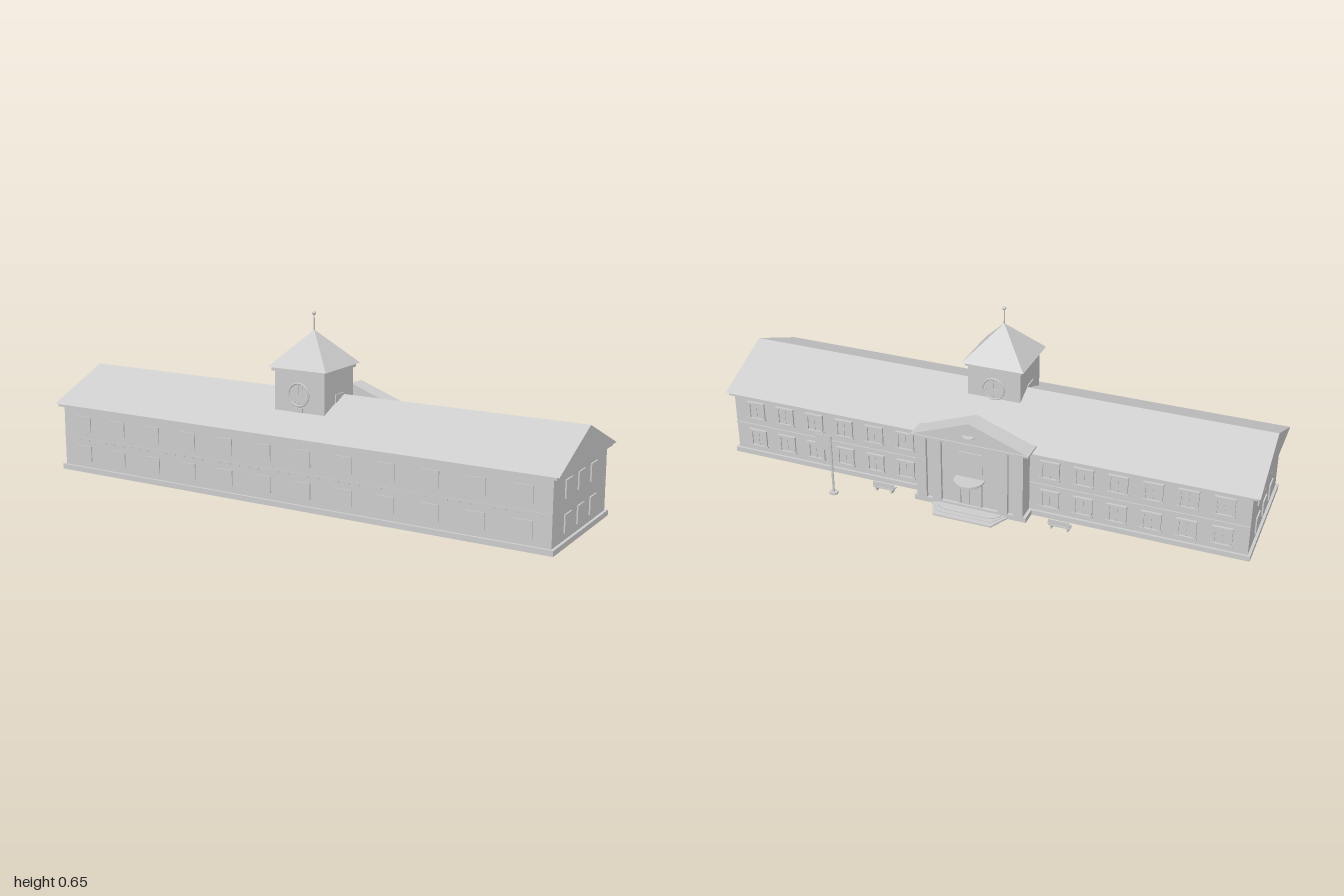
import * as THREE from 'three';

const stone = new THREE.MeshStandardMaterial({ color: 0xcccccc });
stone.name = 'pale grey';

export function createModel() {
  const root = new THREE.Group();
  root.name = 'clockTowerHall';

  const add = (name, geo, parent = root) => {
    const m = new THREE.Mesh(geo, stone);
    m.name = name;
    parent.add(m);
    return m;
  };
  // box given by its limits on each axis
  const box = (name, x0, x1, y0, y1, z0, z1, parent) => {
    const m = add(name, new THREE.BoxGeometry(x1 - x0, y1 - y0, z1 - z0), parent);
    m.position.set((x0 + x1) / 2, (y0 + y1) / 2, (z0 + z1) / 2);
    return m;
  };
  const disc = (name, r, y0, y1, x, z, n = 24) => {
    const m = add(name, new THREE.CylinderGeometry(r, r, y1 - y0, n));
    m.position.set(x, (y0 + y1) / 2, z);
    return m;
  };
  const prism = (pts, depth) => new THREE.ExtrudeGeometry(
    new THREE.Shape(pts.map(p => new THREE.Vector2(...p))), { depth, bevelEnabled: false });

  // Main block
  box('plinth', -0.985, 0.985, 0, 0.019, -0.179, 0.315);
  box('walls', -0.975, 0.975, 0.019, 0.242, -0.17, 0.305);
  box('cornice', -0.99, 0.99, 0.242, 0.253, -0.184, 0.32);
  const roof = add('mainRoof', prism([[-0.327, 0.253], [0.19, 0.253], [-0.068, 0.364]], 2));
  roof.rotation.y = Math.PI / 2;
  roof.position.x = -1;

  // Plain windows on the ends and the long front
  for (const y of [0.043, 0.155]) {
    for (const s of [-1, 1]) {
      for (const z of [-0.045, 0.068, 0.179]) {
        const w = box('endWindow', -0.003, 0.003, y, y + 0.061, z - 0.028, z + 0.028);
        w.position.x = s * 0.977;
      }
    }
    for (let i = 0; i < 12; i++) {
      const x = -0.88 + i * 0.16;
      box('frontWindow', x - 0.032, x + 0.032, y, y + 0.058, 0.303, 0.309);
    }
  }

  // String course with small blocks on the long front
  box('frontStringCourse', -0.975, 0.975, 0.126, 0.13, 0.303, 0.307);
  for (let i = 0; i < 48; i++) {
    const x = -0.94 + i * 0.04;
    box('courseBlock', x - 0.004, x + 0.004, 0.119, 0.126, 0.303, 0.307);
  }

  // Framed windows on the entrance side
  const framedWindow = (x, y) => {
    const g = new THREE.Group();
    g.name = 'framedWindow';
    root.add(g);
    const w = 0.03, h = 0.062;
    box('pane', -w, w, 0, h, -0.002, 0.002, g);
    for (const s of [-1, 1]) {
      box('jamb', s * w - 0.005, s * w + 0.005, 0, h, -0.007, 0, g);
    }
    box('sill', -w - 0.008, w + 0.008, -0.005, 0.001, -0.009, 0, g);
    box('lintel', -w - 0.006, w + 0.006, h - 0.004, h + 0.005, -0.009, 0, g);
    box('mullion', -0.002, 0.002, 0, h, -0.004, 0, g);
    g.position.set(x, y, -0.17);
  };
  for (const s of [-1, 1]) {
    for (let i = 0; i < 6; i++) {
      for (const y of [0.043, 0.159]) framedWindow(s * (0.275 + i * 0.122), y);
    }
    const a = s < 0 ? -0.975 : 0.2, b = s < 0 ? -0.2 : 0.975;
    box('backStringCourse', a, b, 0.126, 0.13, -0.174, -0.17);
  }

  // Entrance pavilion
  box('pavilionPlinth', -0.212, 0.212, 0, 0.019, -0.237, -0.17);
  box('pavilionWall', -0.2, 0.2, 0.019, 0.264, -0.225, -0.17);
  box('pavilionCornice', -0.22, 0.22, 0.264, 0.271, -0.242, -0.158);
  add('pediment', prism([[-0.215, 0.27], [0.215, 0.27], [0, 0.35]], 0.073)).position.z = -0.237;
  for (const s of [-1, 1]) {
    for (const x of [0.182, 0.125]) {
      box('pilaster', s * x - 0.018, s * x + 0.018, 0.019, 0.264, -0.237, -0.22);
    }
    box('doorJamb', s * 0.04 - 0.005, s * 0.04 + 0.005, 0.019, 0.115, -0.232, -0.22);
    box('doorLeaf', s * 0.018 - 0.016, s * 0.018 + 0.016, 0.019, 0.112, -0.229, -0.22);
  }
  box('upperPanel', -0.045, 0.045, 0.15, 0.23, -0.229, -0.22);

  // Round canopies
  disc('canopyTop', 0.055, 0.123, 0.129, 0, -0.236);
  disc('canopyBottom', 0.049, 0.116, 0.123, 0, -0.236);
  disc('pedimentLedge', 0.023, 0.299, 0.303, 0, -0.236);

  // Tapering steps: near half-width, far half-width, far z, height
  for (const [a, b, z, h] of [[0.15, 0.11, 0.31, 0.006], [0.14, 0.1, 0.29, 0.008], [0.13, 0.09, 0.273, 0.011]]) {
    const y = 0.225;
    const step = add('step', prism([[-a, y], [a, y], [a - 0.015, y + 0.03], [b, z], [-b, z], [-a + 0.015, y + 0.03]], h));
    step.rotation.x = -Math.PI / 2;
  }

  // Benches
  for (const s of [-1, 1]) {
    const g = new THREE.Group();
    g.name = 'bench';
    g.position.x = s * 0.335;
    root.add(g);
    box('seat', -0.04, 0.04, 0.014, 0.019, -0.24, -0.215, g);
    box('backrest', -0.04, 0.04, 0.022, 0.04, -0.242, -0.238, g);
    for (const x of [-0.03, 0.03]) {
      box('leg', x - 0.003, x + 0.003, 0, 0.014, -0.237, -0.218, g);
      box('backPost', x - 0.003, x + 0.003, 0.014, 0.038, -0.24, -0.237, g);
    }
  }

  // Flagpole
  disc('flagpoleBase', 0.016, 0, 0.008, 0.5, -0.31, 16);
  disc('flagpole', 0.004, 0.008, 0.238, 0.5, -0.31, 12);
  box('flag', 0.5, 0.56, 0.175, 0.236, -0.311, -0.309);

  // Tower
  const tz = 0.096;
  box('towerBody', -0.1, 0.1, 0.3, 0.449, tz - 0.098, tz + 0.098);
  box('towerCornice', -0.107, 0.107, 0.449, 0.462, tz - 0.107, tz + 0.107);
  const cone = new THREE.ConeGeometry(0.117 * Math.SQRT2, 0.124, 4).rotateY(Math.PI / 4).toNonIndexed();
  cone.computeVertexNormals();
  add('towerRoof', cone).position.set(0, 0.524, tz);
  disc('finialRod', 0.002, 0.575, 0.64, 0, tz, 8);
  add('finialBall', new THREE.SphereGeometry(0.007, 16, 12)).position.set(0, 0.644, tz);
  for (const s of [-1, 1]) {
    const w = box('towerWindow', -0.003, 0.003, 0.31, 0.371, tz - 0.028, tz + 0.028);
    w.position.x = s * 0.101;
  }

  // Clocks on the two long-side faces of the tower
  for (const s of [-1, 1]) {
    const g = new THREE.Group();
    g.name = 'clock';
    g.position.set(0, 0.373, tz + s * 0.098);
    if (s < 0) g.rotation.y = Math.PI;
    root.add(g);
    add('clockFace', new THREE.CylinderGeometry(0.04, 0.04, 0.01, 32).rotateX(Math.PI / 2), g);
    add('clockRim', new THREE.TorusGeometry(0.04, 0.0035, 6, 32), g).position.z = 0.005;
    for (let i = 0; i < 12; i++) {
      const a = i * Math.PI / 6;
      const t = box('hourMark', -0.0015, 0.0015, -0.004, 0.004, 0.004, 0.008, g);
      t.position.x = Math.sin(a) * 0.031;
      t.position.y = Math.cos(a) * 0.031;
      t.rotation.z = -a;
    }
    box('minuteHand', -0.0015, 0.0015, -0.003, 0.025, 0.004, 0.008, g);
    box('hourHand', -0.003, 0.018, -0.0015, 0.0015, 0.004, 0.009, g);
    box('clockBracket', -0.015, 0.015, -0.062, -0.046, -0.003, 0.008, g);
  }
  return root;
}
